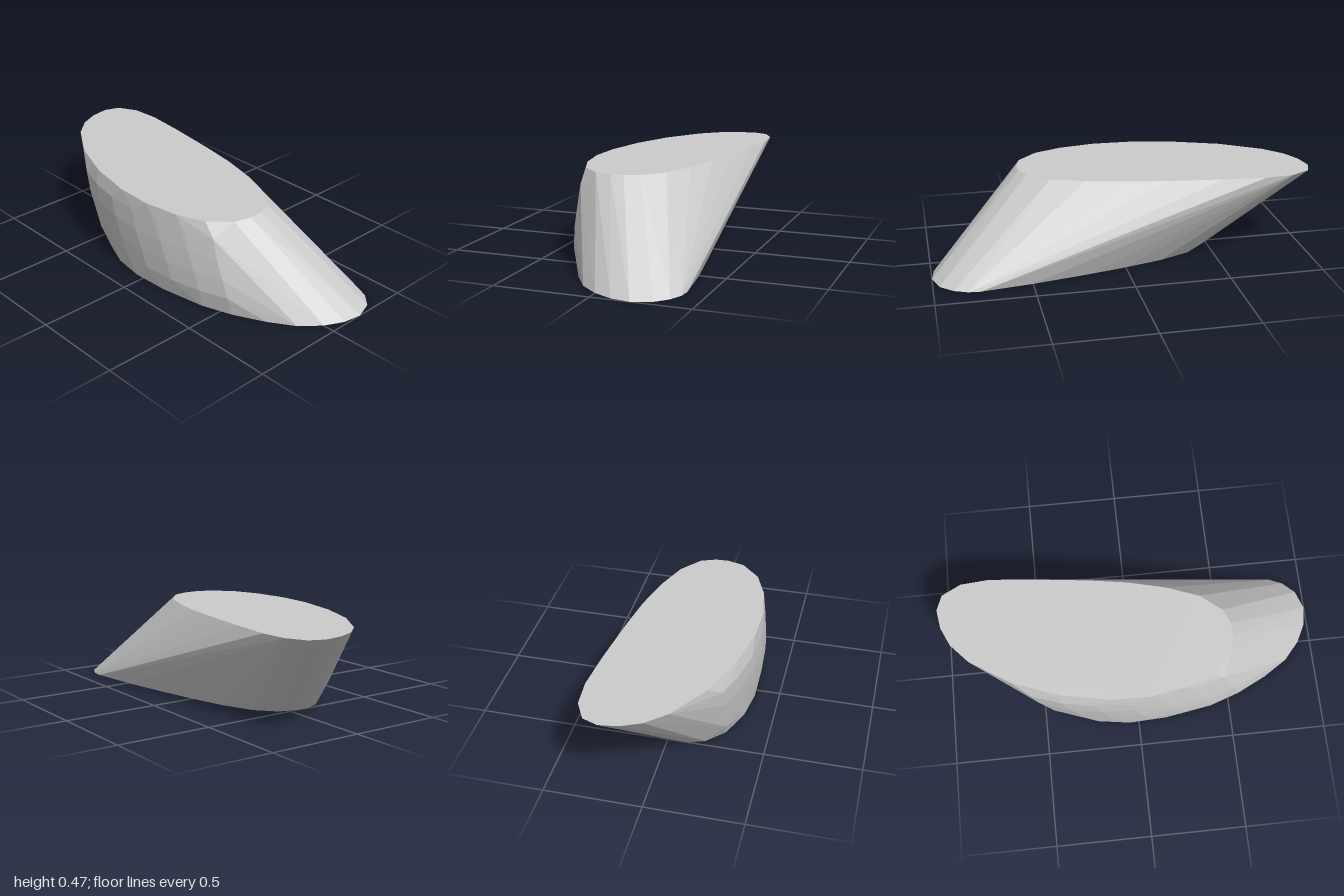
import * as THREE from 'three';
import { ConvexGeometry } from 'three/addons/geometries/ConvexGeometry.js';

const HEIGHT = 0.475;

// Outlines as [x, z] points
const topOutline = [
  [-1, -0.2], [-0.97, -0.28], [-0.87, -0.333], [-0.72, -0.345], [-0.5, -0.325], [-0.2, -0.287],
  [0, -0.255], [0.2, -0.205], [0.37, -0.14], [0.48, -0.05], [0.512, 0.03], [0.515, 0.1],
  [0.49, 0.19], [0.39, 0.29], [0.24, 0.35], [0.05, 0.381], [-0.15, 0.375], [-0.4, 0.325],
  [-0.64, 0.235], [-0.85, 0.1], [-0.94, 0], [-0.985, -0.1],
];
const bottomOutline = [
  [1, -0.2], [0.965, -0.3], [0.9, -0.36], [0.83, -0.39], [0.77, -0.395], [0.5, -0.36], [0.2, -0.305],
  [0, -0.262], [-0.2, -0.21], [-0.37, -0.14], [-0.47, -0.05], [-0.5, 0.05], [-0.5, 0.11],
  [-0.47, 0.19], [-0.38, 0.28], [-0.22, 0.345], [-0.05, 0.371], [0.15, 0.362], [0.4, 0.32],
  [0.56, 0.265], [0.72, 0.185], [0.85, 0.1], [0.935, 0], [0.985, -0.1],
];
// Gentle swelling of the front wall at mid height
const frontBulge = [
  [-0.5, 0.298], [-0.35, 0.349], [-0.18, 0.383], [0, 0.395], [0.18, 0.383], [0.35, 0.349], [0.5, 0.298],
];

export function createModel() {
  const ring = (outline, y, dx = 0, dz = 0) =>
    outline.map(([x, z]) => new THREE.Vector3(x + dx, y, z + dz));

  // Slanted body stretched between the two opposed ovals
  const points = [
    ...ring(bottomOutline, 0),
    ...ring(frontBulge, 0.1, 0.05, -0.009),
    ...ring(frontBulge, 0.2, 0.02, -0.002),
    ...ring(frontBulge, 0.3, -0.02),
    ...ring(frontBulge, 0.4, -0.05, -0.005),
    ...ring(topOutline, HEIGHT),
  ];
  const body = new THREE.Mesh(
    new ConvexGeometry(points),
    new THREE.MeshStandardMaterial({ color: 0xcccccc, flatShading: true }),
  );
  body.name = 'slantedBody';

  const group = new THREE.Group();
  group.name = 'slantedOvalBlock';
  group.add(body);
  return group;
}
